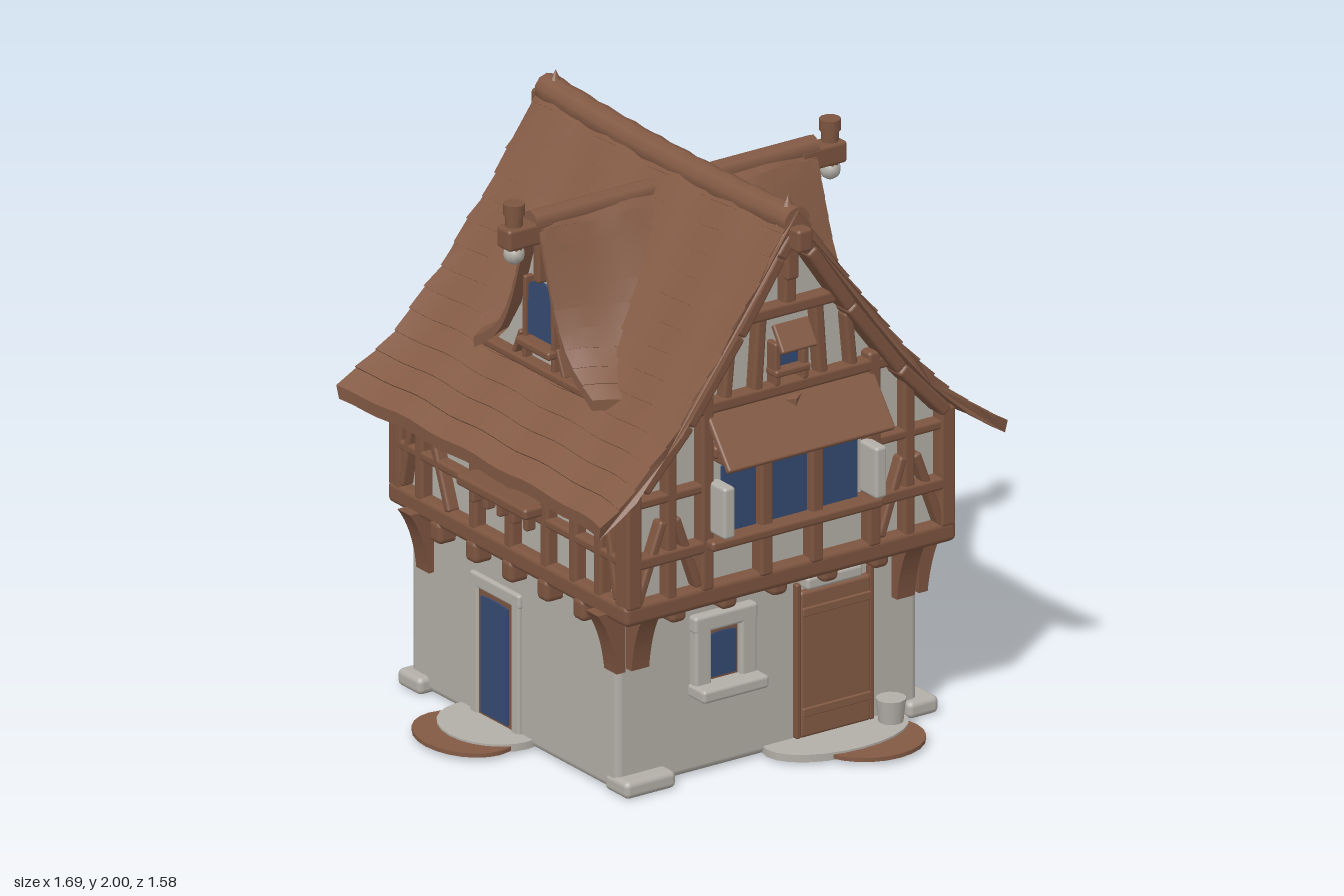
import * as THREE from 'three';
import { toCreasedNormals } from 'three/addons/utils/BufferGeometryUtils.js';
import { RoundedBoxGeometry } from 'three/addons/geometries/RoundedBoxGeometry.js';

const paint = (name, color) => Object.assign(new THREE.MeshStandardMaterial({ color }), { name });

export function createModel() {
  const roofBrown = paint('roof brown', 0x835a45);
  const timber = paint('timber brown', 0x7c543f);
  const plaster = paint('plaster grey', 0xb2aea7);
  const glass = paint('window blue', 0x344970);

  const model = new THREE.Group();
  model.name = 'timberHouse';
  const house = new THREE.Group();
  house.name = 'house';
  house.position.set(0.035, 0, -0.035);
  model.add(house);

  const add = (parent, name, geo, mat, x = 0, y = 0, z = 0) => {
    const m = new THREE.Mesh(geo, mat);
    m.name = name;
    m.position.set(x, y, z);
    parent.add(m);
    return m;
  };
  const block = (parent, name, mat, w, h, d, x, y, z, r = 0.012) =>
    add(parent, name, new RoundedBoxGeometry(w, h, d, 2, Math.min(r, w / 3, h / 3, d / 3)), mat, x, y, z);
  // Straight timber between two points of a wall
  const beam = (wall, x1, y1, x2, y2, w = 0.045, d = 0.06, z = 0.012) => {
    const len = Math.hypot(x2 - x1, y2 - y1);
    const m = block(wall, 'beam', timber, len, w, d, (x1 + x2) / 2, (y1 + y2) / 2, z);
    m.rotation.z = Math.atan2(y2 - y1, x2 - x1);
    return m;
  };
  const wallGroup = (name, angle, dist) => {
    const g = new THREE.Group();
    g.name = name;
    g.rotation.y = angle;
    g.position.set(Math.sin(angle) * dist, 0, Math.cos(angle) * dist);
    house.add(g);
    return g;
  };
  // Thin pane with a gently arched top
  const pane = (wall, x, y, w, h, z, arch = 0.03) => {
    const s = new THREE.Shape();
    s.moveTo(-w / 2, 0);
    s.lineTo(w / 2, 0);
    s.lineTo(w / 2, h - arch);
    s.quadraticCurveTo(0, h + arch, -w / 2, h - arch);
    add(wall, 'pane', new THREE.ExtrudeGeometry(s, { depth: 0.008, bevelEnabled: false }), glass, x, y, z);
  };

  const V = (x, y) => new THREE.Vector2(x, y);
  const mainProfile = [V(0, 1.945), V(0.06, 1.865), V(0.22, 1.63), V(0.42, 1.365), V(0.6, 1.175), V(0.775, 1.05)];
  const dormerProfile = [V(0, 1.85), V(0.03, 1.81), V(0.066, 1.7), V(0.135, 1.5), V(0.21, 1.385), V(0.33, 1.3)];

  // Roof shell: stepped courses mirrored about the ridge, swept lengthwise
  const roofGeometry = (profile, half, thick, courses, lift, bend) => {
    const pts = new THREE.SplineCurve(profile).getSpacedPoints(courses);
    const outer = [pts[0]];
    for (let i = 1; i < pts.length; i++) {
      const t = pts[i].clone().sub(pts[i - 1]).normalize();
      outer.push(pts[i].clone().add(V(-t.y * lift, t.x * lift)));
      if (i < courses) outer.push(pts[i]);
    }
    const inner = pts.map(p => V(p.x, p.y - thick)).reverse();
    const right = [...outer, ...inner];
    const left = right.slice(1, -1).reverse().map(p => V(-p.x, p.y));
    const geo = new THREE.ExtrudeGeometry(new THREE.Shape([...right, ...left]),
      { depth: 2 * half, steps: 24, bevelEnabled: false });
    geo.translate(0, 0, -half);
    const p = geo.attributes.position;
    for (let i = 0; i < p.count; i++) p.setXYZ(i, ...bend(p.getX(i), p.getY(i), p.getZ(i)));
    return toCreasedNormals(geo, 0.6);
  };
  // Solid under a roof profile, used for walls
  const gableSolid = (profile, foot, half, drop) => {
    const r = profile.map(p => V(p.x, p.y - drop));
    const pts = [...r, ...foot, ...[...foot].reverse().map(p => V(-p.x, p.y)),
      ...r.slice(1).reverse().map(p => V(-p.x, p.y))];
    const geo = new THREE.ExtrudeGeometry(new THREE.Shape(pts), { depth: 2 * half, bevelEnabled: false });
    return geo.translate(0, 0, -half);
  };

  // Ground floor and upper storey
  block(house, 'groundFloor', plaster, 1.19, 0.68, 1.155, 0, 0.35, -0.043, 0.025);
  add(house, 'upperWalls', gableSolid(mainProfile.slice(0, 5), [V(0.61, 1.12), V(0.61, 0.66)], 0.625, 0.025), plaster);

  // Main roof: flared eaves, wavy verges, slightly sagging ridge
  add(house, 'mainRoof', roofGeometry(mainProfile, 0.7, 0.04, 14, 0.007, (x, y, z) => {
    const e = Math.abs(x) / 0.775, s = z / 0.7;
    return [x * (1 + 0.035 * s ** 6), y + 0.012 * s * s * (1 - e) + 0.005 * Math.sin(z * 19 + x * 5),
      z + s * (0.035 * e * e + 0.008 * Math.sin(y * 30))];
  }), roofBrown);
  const cap = new THREE.CylinderGeometry(0.05, 0.05, 1.4, 10, 28).rotateX(Math.PI / 2);
  const cp = cap.attributes.position;
  for (let i = 0; i < cp.count; i++) {
    const z = cp.getZ(i), k = 1 + 0.05 * Math.sin(z * 45);
    cp.setXYZ(i, cp.getX(i) * k, cp.getY(i) * k + 0.02 * (z / 0.7) ** 2, z);
  }
  cap.computeVertexNormals();
  add(house, 'ridgeCap', cap, roofBrown, 0, 1.902, 0);
  for (const s of [-1, 1]) {
    add(house, 'ridgePeak', new THREE.ConeGeometry(0.055, 0.11, 8), roofBrown, 0, 1.945, s * 0.65);
    block(house, 'ridgeBeamEnd', timber, 0.06, 0.08, 0.16, 0, 1.87, s * 0.67);
    block(house, 'ridgePendant', timber, 0.05, 0.16, 0.05, 0, 1.79, s * 0.655);
  }

  // Cross dormers share one roof, broadening inward to form straight valleys
  add(house, 'dormerRoof', roofGeometry(dormerProfile, 0.55, 0.035, 10, 0.003, (x, y, z) =>
    [x * (1 + 1.1 * (1 - Math.abs(z) / 0.55)), y + 0.005 * Math.sin(z * 22), z]), roofBrown)
    .rotation.y = Math.PI / 2;
  add(house, 'dormerWalls', gableSolid(dormerProfile.slice(0, 5), [V(0.29, 1.29), V(0.29, 1.2)], 0.5, 0.02), plaster)
    .rotation.y = Math.PI / 2;
  const dormerRidge = new THREE.CylinderGeometry(0.038, 0.038, 1.12, 8).rotateZ(Math.PI / 2);
  add(house, 'dormerRidge', dormerRidge, roofBrown, 0, 1.82, 0);
  for (const s of [-1, 1]) {
    const g = wallGroup('dormerFront', s * Math.PI / 2, 0.5);
    beam(g, -0.31, 1.3, 0.31, 1.3, 0.03);
    beam(g, -0.095, 1.375, 0.095, 1.375, 0.03, 0.09);
    for (const m of [-1, 1]) {
      beam(g, m * 0.082, 1.3, m * 0.076, 1.6, 0.018, 0.04);
      beam(g, m * 0.14, 1.31, m * 0.1, 1.4, 0.018, 0.04);
    }
    beam(g, 0, 1.6, 0, 1.8, 0.035);
    pane(g, 0, 1.4, 0.14, 0.2, 0.012);
    // Projecting ridge beam with upright post and pale pendant
    block(g, 'dormerBeam', timber, 0.075, 0.075, 0.18, 0, 1.785, 0.08);
    add(g, 'dormerPost', new THREE.CylinderGeometry(0.028, 0.03, 0.17, 10), timber, 0, 1.815, 0.125);
    add(g, 'dormerPostCap', new THREE.CylinderGeometry(0.036, 0.036, 0.04, 10), timber, 0, 1.88, 0.125);
    add(g, 'dormerPendant', new THREE.SphereGeometry(0.036, 10, 8), plaster, 0, 1.725, 0.125);
  }

  // Sill beams around the upper storey
  for (const s of [-1, 1]) {
    block(house, 'sillBeam', timber, 1.31, 0.075, 0.09, 0, 0.68, s * 0.625, 0.02);
    block(house, 'sillBeam', timber, 0.09, 0.075, 1.33, s * 0.61, 0.68, 0, 0.02);
  }

  // Gable framing common to front and back
  const gable = name => {
    const g = wallGroup(name, name === 'frontTimber' ? 0 : Math.PI, 0.625);
    for (let i = 1; i < 5; i++) for (const m of [-1, 1]) {
      const a = mainProfile[i - 1], b = mainProfile[i];
      beam(g, m * a.x, a.y - 0.06, m * b.x, b.y - 0.06, 0.045, 0.09, 0.03);
    }
    for (const m of [-1, 1]) {
      beam(g, m * 0.62, 0.7, m * 0.62, 1.12, 0.06, 0.07);
      beam(g, m * 0.47, 0.7, m * 0.47, 1.26, 0.045);
      beam(g, m * 0.33, 0.7, m * 0.33, 1.38, 0.05, 0.07);
      beam(g, m * 0.6, 0.71, m * 0.5, 0.98, 0.03);
      beam(g, m * 0.45, 0.98, m * 0.36, 0.72, 0.03);
      beam(g, m * 0.13, 1.34, m * 0.11, 1.62, 0.04);
      beam(g, m * 0.25, 1.34, m * 0.23, 1.54, 0.035);
      beam(g, m * 0.055, 1.35, m * 0.055, 1.5, 0.025, 0.07);
    }
    beam(g, -0.64, 0.855, 0.64, 0.855, 0.045, 0.07);
    beam(g, -0.42, 1.335, 0.42, 1.335, 0.045, 0.07);
    beam(g, -0.19, 1.61, 0.19, 1.61, 0.045, 0.07);
    beam(g, 0, 1.62, 0, 1.86, 0.05);
    beam(g, -0.07, 1.395, 0.07, 1.395, 0.025, 0.09);
    pane(g, 0, 1.405, 0.085, 0.09, 0.012, 0.005);
    block(g, 'gableHood', roofBrown, 0.14, 0.1, 0.02, 0, 1.52, 0.06).rotation.x = -0.6;
    return g;
  };

  // Front: triple window, awning and shutters
  const front = gable('frontTimber');
  for (const x of [-0.1, 0.1]) beam(front, x, 0.7, x, 1.18, 0.05, 0.08);
  for (const x of [-0.2, 0, 0.2]) pane(front, x, 0.885, 0.135, 0.26, 0.025);
  beam(front, -0.34, 0.865, 0.34, 0.865, 0.035, 0.11, 0.03);
  beam(front, -0.64, 1.06, -0.33, 1.06, 0.035);
  beam(front, 0.33, 1.06, 0.64, 1.06, 0.035);
  beam(front, -0.3, 1.17, 0.3, 1.17, 0.045);
  for (const m of [-1, 1]) {
    block(front, 'shutter', plaster, 0.045, 0.18, 0.1, m * 0.3, 0.99, 0.075);
    block(front, 'awningBracket', timber, 0.035, 0.04, 0.13, m * 0.27, 1.15, 0.06);
  }
  block(front, 'awning', roofBrown, 0.66, 0.225, 0.025, 0, 1.235, 0.085).rotation.x = -0.66;

  // Back: tall studs
  const back = gable('backTimber');
  for (const x of [-0.17, 0, 0.17]) beam(back, x, 0.7, x, 1.34, 0.045);
  beam(back, -0.5, 1.13, -0.17, 1.13, 0.035);
  beam(back, 0.17, 1.13, 0.5, 1.13, 0.035);
  for (const m of [-1, 1]) beam(back, m * 0.31, 0.9, m * 0.19, 1.1, 0.03);

  // Long sides with shelves and pegs
  for (const s of [-1, 1]) {
    const g = wallGroup('sideTimber', s * Math.PI / 2, 0.61);
    for (const x of [-0.62, -0.5, -0.2, 0, 0.2, 0.36, 0.5, 0.62]) beam(g, x, 0.7, x, 1.1, 0.045);
    beam(g, -0.64, 0.86, 0.64, 0.86, 0.035);
    beam(g, -0.64, 1.07, 0.64, 1.07, 0.05);
    beam(g, -0.47, 1.04, -0.34, 0.71, 0.03);
    for (const m of [-1, 1]) beam(g, m * 0.6, 0.72, m * 0.53, 1.04, 0.028);
    block(g, 'shelf', timber, 0.39, 0.04, 0.11, 0, 0.895, 0.055);
    for (let i = -2; i <= 2; i++) block(g, 'shelfPeg', timber, 0.025, 0.05, 0.04, i * 0.075, 0.845, 0.06);
  }

  // Joist ends and corner brackets under the overhang
  const bracketShape = new THREE.Shape([V(0, 0), V(0.035, 0)]);
  bracketShape.quadraticCurveTo(0.05, 0.14, 0.11, 0.22);
  bracketShape.lineTo(0, 0.22);
  const bracketGeo = new THREE.ExtrudeGeometry(bracketShape, { depth: 0.07, bevelEnabled: false })
    .translate(0, 0, -0.035).rotateY(-Math.PI / 2);
  for (const [a, dist] of [[0, 0.53], [Math.PI, 0.6], [Math.PI / 2, 0.58], [-Math.PI / 2, 0.58]]) {
    const g = wallGroup('overhangSupports', a, dist);
    for (let i = -2; i <= 2; i++) block(g, 'joistEnd', timber, 0.065, 0.08, 0.15, i * 0.2, 0.625, 0.005, 0.02);
    if (a !== Math.PI) for (const m of [-1, 1]) add(g, 'cornerBracket', bracketGeo, timber, m * 0.525, 0.44, 0);
  }

  // Ground floor front: door and small window
  const porch = wallGroup('groundFront', 0, 0.535);
  block(porch, 'door', roofBrown, 0.28, 0.51, 0.035, 0.255, 0.295, 0.005);
  for (const y of [0.13, 0.48]) block(porch, 'doorBand', roofBrown, 0.27, 0.03, 0.012, 0.255, y, 0.024);
  for (const x of [0.11, 0.4]) block(porch, 'doorPost', timber, 0.02, 0.54, 0.04, x, 0.31, 0);
  block(porch, 'doorLintel', plaster, 0.22, 0.045, 0.06, 0.24, 0.58, 0.01);
  for (const x of [-0.275, -0.095]) block(porch, 'windowJamb', plaster, 0.065, 0.24, 0.05, x, 0.43, 0.01);
  block(porch, 'windowHead', plaster, 0.25, 0.06, 0.05, -0.185, 0.535, 0.01);
  block(porch, 'windowSill', plaster, 0.26, 0.045, 0.1, -0.185, 0.305, 0.04);
  block(porch, 'windowFrame', timber, 0.13, 0.19, 0.02, -0.185, 0.415, 0);
  pane(porch, -0.185, 0.335, 0.105, 0.155, 0.006, 0.005);

  // Side door on the right-hand wall
  const sideDoor = wallGroup('sideDoor', -Math.PI / 2, 0.595);
  for (const x of [-0.25, -0.02]) block(sideDoor, 'sideDoorPost', plaster, 0.045, 0.47, 0.03, x, 0.26, 0);
  block(sideDoor, 'sideDoorLintel', plaster, 0.28, 0.05, 0.03, -0.135, 0.5, 0);
  block(sideDoor, 'sideDoorFrame', timber, 0.19, 0.45, 0.01, -0.135, 0.26, 0.002);
  pane(sideDoor, -0.135, 0.05, 0.15, 0.41, 0.006, 0.005);

  // Footing stones
  for (const [x, z, w] of [[-0.5, 0.53, 0.2], [0.6, 0.5, 0.12], [0.58, -0.6, 0.14], [-0.57, -0.58, 0.13]])
    block(house, 'footingStone', plaster, w, 0.06, 0.13, x, 0.035, z, 0.025);

  // Doorstep patches and a small tub
  const patch = (name, mat, x, z, rx, rz, y, h) => {
    const m = add(model, name, new THREE.CylinderGeometry(1, 1, h, 24), mat, x, y, z);
    m.scale.set(rx, 1, rz);
  };
  patch('frontEarth', roofBrown, 0.35, 0.62, 0.19, 0.175, 0.026, 0.014);
  patch('frontPaving', plaster, 0.28, 0.53, 0.27, 0.16, 0.027, 0.026);
  patch('sideEarth', roofBrown, -0.69, -0.17, 0.155, 0.2, 0.026, 0.014);
  patch('sidePaving', plaster, -0.58, -0.17, 0.17, 0.2, 0.027, 0.026);
  add(model, 'tub', new THREE.CylinderGeometry(0.05, 0.04, 0.09, 12), plaster, 0.48, 0.075, 0.56);
  return model;
}
